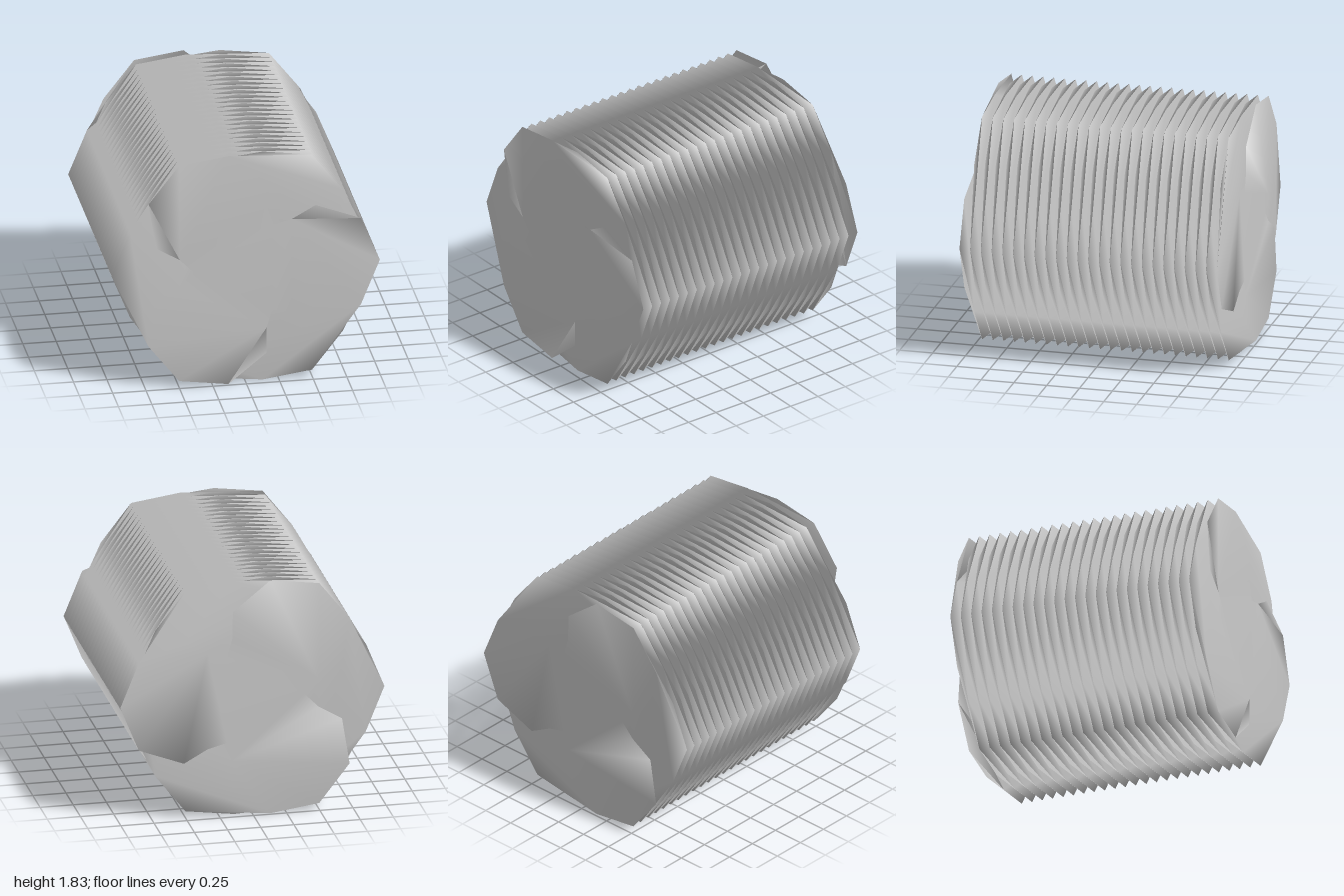
import * as THREE from 'three';

const LAYERS = 48;            // twisted slices along z
const STEP = -Math.PI / 3;    // turn per slice, front to back
const HALF = 0.98;            // half length
const CENTRE_Y = 0.915;

// Three-armed cross-section, counter-clockwise from the front, 8 points per arm.
function armProfile() {
  const half = [[0.86, 0.345], [0.52, 0.475], [0.34, 0.375]]; // shoulder, flank, neck
  const arm = [
    [1, 0], ...half,
    [0.195, 0.338],           // root between two arms
  ];
  // the near side of the next arm is the mirror of this one
  const next = [...half].reverse().map(([x, y]) => {
    const a = 2 * Math.PI / 3 - Math.atan2(y, x), r = Math.hypot(x, y);
    return [r * Math.cos(a), r * Math.sin(a)];
  });
  const points = [];
  for (let k = 0; k < 3; k++) {
    for (const [x, y] of [...arm, ...next]) {
      points.push(new THREE.Vector2(x, y).rotateAround(new THREE.Vector2(), k * 2 * Math.PI / 3));
    }
  }
  return points;
}

// Stacks the profile along z, turning it at each slice.
function twistedExtrusion(profile) {
  const n = profile.length;
  const positions = [], index = [];
  for (let l = 0; l <= LAYERS; l++) {
    const c = Math.cos(l * STEP), s = Math.sin(l * STEP);
    const z = HALF - 2 * HALF * l / LAYERS;
    for (const p of profile) positions.push(p.x * c - p.y * s, p.x * s + p.y * c, z);
  }
  // blade flanks
  for (let l = 0; l < LAYERS; l++) {
    for (let j = 0; j < n; j++) {
      const k = (j + 1) % n;
      const a = l * n + j, b = l * n + k, d = a + n, e = b + n;
      index.push(a, d, e, a, e, b);
    }
  }
  // front and back caps: a core triangle between the roots, and a fan from each arm's neck
  const back = LAYERS * n;
  const capFace = (a, b, c) => index.push(a, b, c, back + a, back + c, back + b);
  capFace(4, 12, 20);
  for (let tip = 0; tip < n; tip += 8) {
    const at = (offset) => (tip + offset + n) % n;
    const neck = at(3);
    capFace(neck, at(4), at(-4));
    for (let i = -4; i < 2; i++) capFace(neck, at(i), at(i + 1));
  }
  const geometry = new THREE.BufferGeometry();
  geometry.setAttribute('position', new THREE.Float32BufferAttribute(positions, 3));
  geometry.setIndex(index);
  geometry.computeVertexNormals();
  return geometry;
}

export function createModel() {
  const group = new THREE.Group();
  group.name = 'twistedRoller';
  const grey = new THREE.MeshStandardMaterial({ color: 0xcccccc, side: THREE.DoubleSide });
  grey.name = 'light grey';

  const body = new THREE.Mesh(twistedExtrusion(armProfile()), grey);
  body.name = 'twistedBlades';
  body.position.y = CENTRE_Y;
  group.add(body);
  return group;
}
